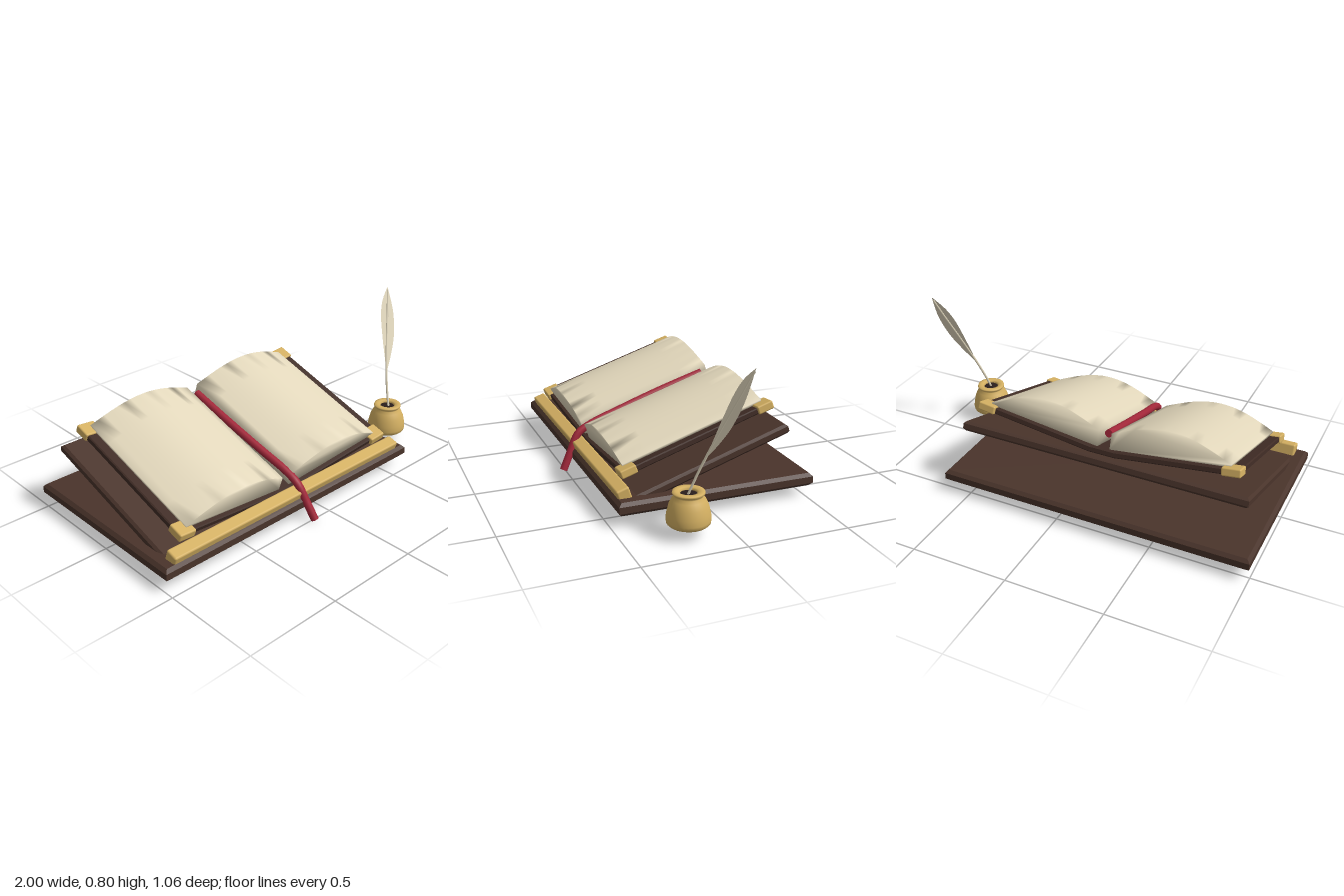
import * as THREE from 'three';
import { mergeVertices } from 'three/addons/utils/BufferGeometryUtils.js';
import { RoundedBoxGeometry } from 'three/addons/geometries/RoundedBoxGeometry.js';

const material = (name, color, side = THREE.FrontSide) => {
  const m = new THREE.MeshStandardMaterial({ color, side });
  m.name = name;
  return m;
};

const mesh = (name, geometry, mat, x = 0, y = 0, z = 0) => {
  const m = new THREE.Mesh(geometry, mat);
  m.name = name;
  m.position.set(x, y, z);
  return m;
};

// Flat board with bevelled edges, lying in the xz plane and centred on the origin
function slab(w, h, d, bevel) {
  const x = w / 2 - bevel, z = d / 2 - bevel;
  const shape = new THREE.Shape([[-x, -z], [x, -z], [x, z], [-x, z]].map(p => new THREE.Vector2(...p)));
  const g = new THREE.ExtrudeGeometry(shape, {
    depth: h - 2 * bevel, bevelThickness: bevel, bevelSize: bevel, bevelSegments: 1,
  });
  g.translate(0, 0, -(h - 2 * bevel) / 2);
  return g.rotateX(-Math.PI / 2);
}

// Half of the open page block: an arched section swept along the book, softly shaded
function pageBlock(side) {
  const inner = 0.033, outer = 0.633, pts = [[inner, 0.262]];
  for (let i = 0; i <= 16; i++) {
    const t = i / 16;
    pts.push([inner + (outer - inner) * t, 0.342 + 0.082 * Math.sin(Math.PI * t)]);
  }
  pts.push([outer, 0.33]);
  const shape = new THREE.Shape(pts.map(([x, y]) => new THREE.Vector2(side * x, y)));
  let g = new THREE.ExtrudeGeometry(shape, { depth: 0.75, steps: 5, bevelEnabled: false });
  g.translate(0, 0, -0.455);
  g.deleteAttribute('uv');
  g.deleteAttribute('normal');
  g = mergeVertices(g);
  g.computeVertexNormals();
  return g;
}

export function createModel() {
  const model = new THREE.Group();
  model.name = 'bookStandWithInkwell';

  const wood = material('dark wood', 0x4a342b);
  const leather = material('brown leather', 0x402c25);
  const gold = material('gold', 0xd4b062);
  const paper = material('parchment', 0xe3d8bc);
  const red = material('red ribbon', 0xa3283a);
  const ink = material('ink', 0x2a1e1c);
  const plume = material('feather', 0xe0d6bc, THREE.DoubleSide);

  // Base board
  model.add(mesh('base', slab(1.63, 0.065, 0.995, 0.016), wood, -0.185, 0.088, -0.033));

  // Everything on the sloped rest shares one tilted frame
  const rest = new THREE.Group();
  rest.name = 'slopedRest';
  rest.position.x = -0.185;
  rest.rotation.x = THREE.MathUtils.degToRad(18);
  model.add(rest);

  rest.add(mesh('restBoard', slab(1.51, 0.05, 0.865, 0.012), wood, 0, 0.2, -0.073));
  rest.add(mesh('ledge', new RoundedBoxGeometry(1.515, 0.085, 0.066, 2, 0.01), gold, 0, 0.2475, 0.357));

  // Open book: spine, slightly raised covers, gold corners and page blocks
  const book = new THREE.Group();
  book.name = 'book';
  rest.add(book);
  book.add(mesh('spine', slab(0.15, 0.03, 0.788, 0.005), leather, 0, 0.2455, -0.08));

  for (const side of [-1, 1]) {
    const half = new THREE.Group();
    half.name = side < 0 ? 'rightCover' : 'leftCover';
    half.position.set(side * 0.3715, 0.2815, -0.08);
    half.rotation.z = side * 0.1166;
    half.add(mesh('coverBoard', slab(0.627, 0.03, 0.79, 0.005), leather));
    for (const end of [-1, 1]) {
      half.add(mesh('cornerCap', new RoundedBoxGeometry(0.095, 0.042, 0.084, 2, 0.008), gold,
        side * 0.275, 0.002, end * 0.367));
    }
    book.add(half);
    book.add(mesh(side < 0 ? 'rightPages' : 'leftPages', pageBlock(side), paper));
  }

  // Bookmark ribbon running down the gutter and over the ledge
  const ribbonPath = new THREE.CatmullRomCurve3([
    [0, 0.325, -0.41], [0.003, 0.33, -0.15], [0.015, 0.33, 0.1], [0.027, 0.328, 0.26],
    [0.034, 0.31, 0.342], [0.05, 0.24, 0.415], [0.066, 0.169, 0.485],
  ].map(p => new THREE.Vector3(...p)));
  const ribbon = new THREE.Group();
  ribbon.name = 'ribbon';
  ribbon.add(mesh('ribbonStrand', new THREE.TubeGeometry(ribbonPath, 48, 0.02, 10), red));
  for (const t of [0, 1]) {
    const p = ribbonPath.getPoint(t);
    const cap = mesh('ribbonEnd', new THREE.CircleGeometry(0.02, 10), red, p.x, p.y, p.z);
    const dir = ribbonPath.getTangent(t).multiplyScalar(t ? 1 : -1);
    cap.quaternion.setFromUnitVectors(new THREE.Vector3(0, 0, 1), dir);
    ribbon.add(cap);
  }
  rest.add(ribbon);

  // Inkwell
  const profile = [
    [0, 0.057], [0.09, 0.057], [0.1, 0.066], [0.103, 0.082], [0.1, 0.11], [0.091, 0.148],
    [0.077, 0.178], [0.066, 0.192], [0.068, 0.2], [0.075, 0.206], [0.073, 0.213],
    [0.06, 0.215], [0.045, 0.213], [0.038, 0.205], [0.038, 0.185],
  ].map(p => new THREE.Vector2(...p));
  model.add(mesh('inkwell', new THREE.LatheGeometry(profile, 32), gold, 0.795, 0, 0.198));
  model.add(mesh('inkSurface', new THREE.CircleGeometry(0.042, 24).rotateX(-Math.PI / 2), ink, 0.795, 0.202, 0.198));

  // Quill: drawn upright, leaning back by a shear in z
  const lean = y => 0.199 - (y - 0.21) * 0.356;
  const quill = new THREE.Group();
  quill.name = 'quill';
  const shaftPath = new THREE.CatmullRomCurve3(
    [[0.792, 0.16], [0.815, 0.28], [0.842, 0.38], [0.9, 0.55], [0.957, 0.7], [0.988, 0.79]]
      .map(([x, y]) => new THREE.Vector3(x, y, lean(y))));
  quill.add(mesh('quillShaft', new THREE.TubeGeometry(shaftPath, 32, 0.006, 8), plume));

  const vane = new THREE.Shape();
  vane.moveTo(0.842, 0.375);
  vane.splineThru([[0.853, 0.46], [0.868, 0.56], [0.891, 0.668], [0.928, 0.743], [0.992, 0.805]]
    .map(p => new THREE.Vector2(...p)));
  vane.splineThru([[0.998, 0.72], [0.992, 0.64], [0.96, 0.54], [0.9, 0.445], [0.842, 0.375]]
    .map(p => new THREE.Vector2(...p)));
  const vaneGeometry = new THREE.ShapeGeometry(vane, 8);
  const pos = vaneGeometry.attributes.position;
  for (let i = 0; i < pos.count; i++) pos.setZ(i, lean(pos.getY(i)));
  vaneGeometry.computeVertexNormals();
  quill.add(mesh('quillFeather', vaneGeometry, plume));
  model.add(quill);

  return model;
}
